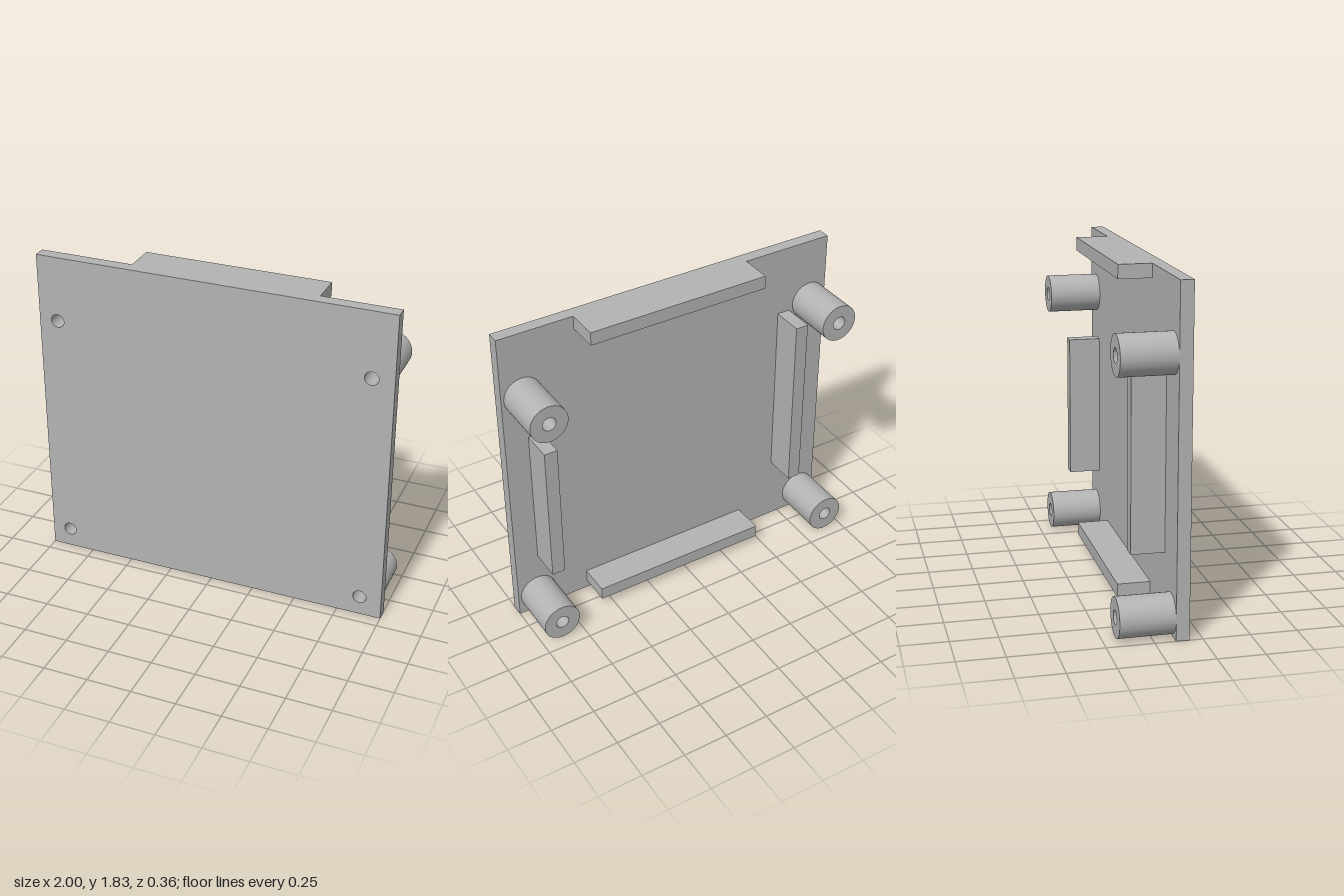
import * as THREE from 'three';
import { toCreasedNormals } from 'three/addons/utils/BufferGeometryUtils.js';

const WIDTH = 2, HEIGHT = 1.83;
const FRONT_Z = 0.18, PLATE_BACK_Z = 0.11, RIB_BACK_Z = -0.07, POST_BACK_Z = -0.18;
const POST_RADIUS = 0.107, HOLE_RADIUS = 0.038;
const POST_X = [-0.893, 0.877], POST_Y = [0.112, 1.458];

export function createModel() {
  const group = new THREE.Group();
  const grey = new THREE.MeshStandardMaterial({ color: 0xb3b3b3 });
  grey.name = 'grey';

  const add = (name, geometry, x = 0, y = 0, z = 0) => {
    const mesh = new THREE.Mesh(geometry, grey);
    mesh.name = name;
    mesh.position.set(x, y, z);
    group.add(mesh);
  };
  const extrude = (shape, depth) => toCreasedNormals(
    new THREE.ExtrudeGeometry(shape, { depth, bevelEnabled: false, curveSegments: 32 }), 0.6);
  const hole = (x, y) => new THREE.Path().absarc(x, y, HOLE_RADIUS, 0, Math.PI * 2, true);

  // Flat panel with four screw holes
  const panel = new THREE.Shape([
    new THREE.Vector2(-WIDTH / 2, 0), new THREE.Vector2(WIDTH / 2, 0),
    new THREE.Vector2(WIDTH / 2, HEIGHT), new THREE.Vector2(-WIDTH / 2, HEIGHT),
  ]);
  for (const x of POST_X) for (const y of POST_Y) panel.holes.push(hole(x, y));
  add('panel', extrude(panel, FRONT_Z - PLATE_BACK_Z), 0, 0, PLATE_BACK_Z);

  // Hollow standoffs behind the holes
  const ring = new THREE.Shape().absarc(0, 0, POST_RADIUS, 0, Math.PI * 2, false);
  ring.holes.push(hole(0, 0));
  const post = extrude(ring, PLATE_BACK_Z - POST_BACK_Z);
  for (const x of POST_X) for (const y of POST_Y) add('standoff', post, x, y, POST_BACK_Z);

  // Ribs on the back: name, x range, y range
  const ribs = [
    ['topRib', -0.47, 0.57, 1.755, 1.83],
    ['bottomRib', -0.47, 0.57, 0.047, 0.121],
    ['leftRib', 0.79, 0.865, 0.37, 1.19],
    ['rightRib', -0.765, -0.69, 0.39, 1.43],
  ];
  for (const [name, x0, x1, y0, y1] of ribs) {
    add(name, new THREE.BoxGeometry(x1 - x0, y1 - y0, PLATE_BACK_Z - RIB_BACK_Z),
      (x0 + x1) / 2, (y0 + y1) / 2, (PLATE_BACK_Z + RIB_BACK_Z) / 2);
  }
  return group;
}
